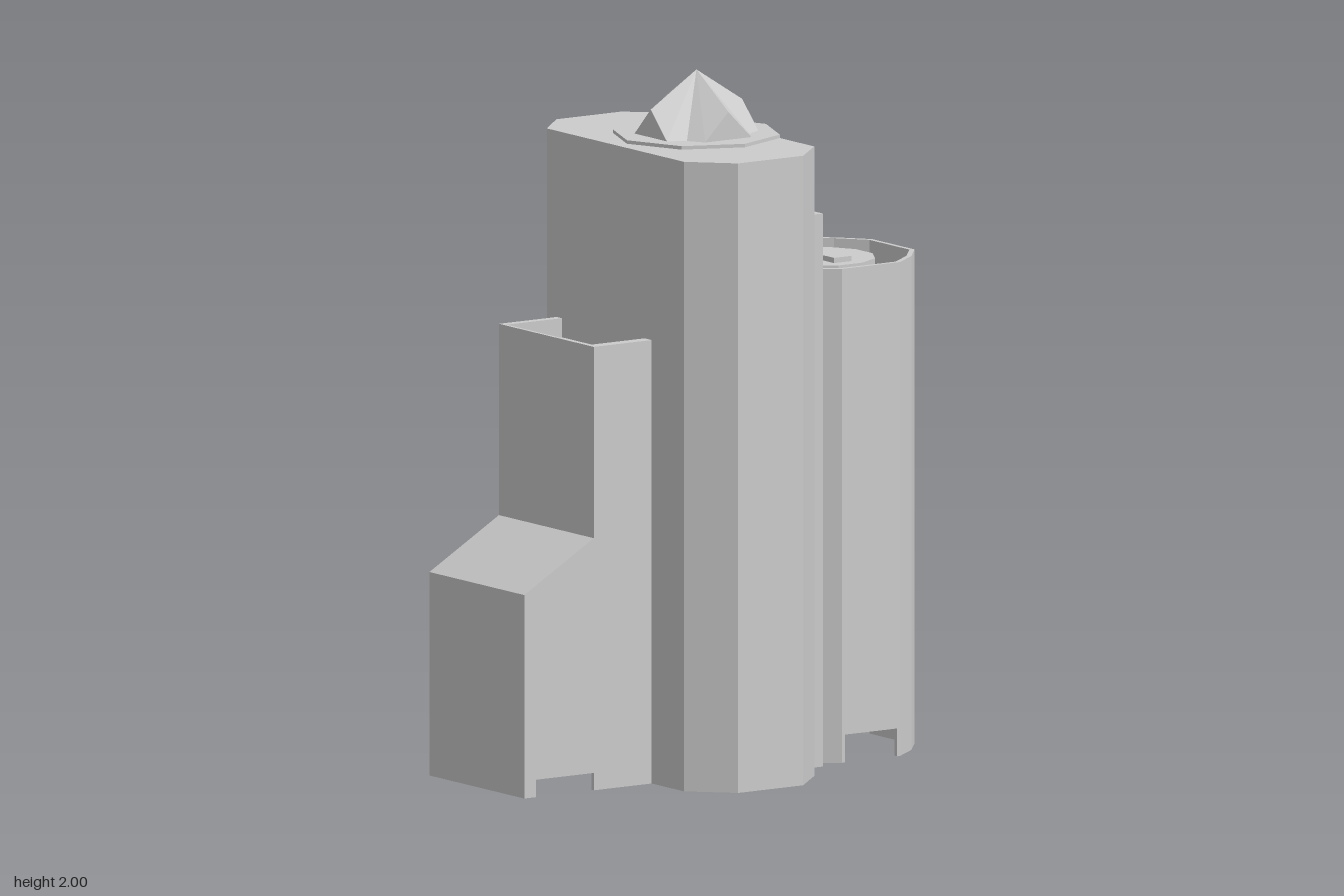
import * as THREE from 'three';

const material = new THREE.MeshStandardMaterial({ color: 0xcccccc, flatShading: true, side: THREE.DoubleSide });

export function createModel() {
  const model = new THREE.Group();
  model.name = 'towerBuilding';

  const add = (name, geometry, parent = model) => {
    const mesh = new THREE.Mesh(geometry, material);
    mesh.name = name;
    parent.add(mesh);
    return mesh;
  };
  // Box given by its limits
  const box = (name, x0, x1, y0, y1, z0, z1) => {
    const m = add(name, new THREE.BoxGeometry(x1 - x0, y1 - y0, z1 - z0));
    m.position.set((x0 + x1) / 2, (y0 + y1) / 2, (z0 + z1) / 2);
    return m;
  };
  // Plan outline of [x, z] points raised from y0 to y1, with an optional hole
  const toPath = (pts) => pts.map(([x, z]) => new THREE.Vector2(x, -z));
  const prism = (name, pts, y0, y1, hole) => {
    const shape = new THREE.Shape(toPath(pts));
    if (hole) shape.holes.push(new THREE.Path(toPath(hole)));
    const g = new THREE.ExtrudeGeometry(shape, { depth: y1 - y0, bevelEnabled: false });
    g.rotateX(-Math.PI / 2).translate(0, y0, 0);
    return add(name, g);
  };
  const scaled = (pts, [cx, cz], s) => pts.map(([x, z]) => [cx + (x - cx) * s, cz + (z - cz) * s]);
  // Thin wall below a prism, one panel per side (sides listed in skip stay open)
  const skirt = (name, pts, [cx, cz], height, skip = []) => {
    const t = 0.012;
    pts.forEach(([ax, az], i) => {
      if (skip.includes(i)) return;
      const [bx, bz] = pts[(i + 1) % pts.length];
      const len = Math.hypot(bx - ax, bz - az);
      let nx = -(bz - az) / len, nz = (bx - ax) / len;
      if (nx * (cx - ax) + nz * (cz - az) < 0) { nx = -nx; nz = -nz; }
      const m = add(name, new THREE.BoxGeometry(len, height, t));
      m.position.set((ax + bx) / 2 + nx * t / 2, height / 2, (az + bz) / 2 + nz * t / 2);
      m.rotation.y = -Math.atan2(bz - az, bx - ax);
    });
  };

  // Main tower, hollow at the foot
  const tower = [[-0.28, -0.34], [-0.17, -0.45], [0.055, -0.45], [0.17, -0.34],
    [0.17, 0.34], [0.055, 0.45], [-0.17, 0.45], [-0.28, 0.34]];
  prism('mainTower', tower, 0.14, 1.81);
  skirt('mainTowerFoot', tower, [-0.05, 0], 0.14);

  // Octagonal core that bulges from the tower side and caps the roof
  add('core', new THREE.CylinderGeometry(0.24, 0.24, 1.71, 8)).position.y = 0.965;

  // Cross-gabled crown
  const crownGeometry = () => {
    const pos = [];
    for (let i = 0; i < 4; i++) {
      const turn = (x, y, z) => new THREE.Vector3(x, y, z).applyAxisAngle(new THREE.Vector3(0, 1, 0), i * Math.PI / 2);
      const apex = turn(0, 0.18, 0), peak = turn(0, 0.08, 0.158);
      const left = turn(-0.08, 0, 0.158), right = turn(0.08, 0, 0.158);
      const valleyL = turn(-0.108, 0, 0.108), valleyR = turn(0.108, 0, 0.108);
      const faces = [apex, peak, right, apex, right, valleyR, apex, left, peak,
        apex, valleyL, left, peak, left, right];
      faces.forEach((p) => pos.push(p.x, p.y, p.z));
    }
    const g = new THREE.BufferGeometry();
    g.setAttribute('position', new THREE.Float32BufferAttribute(pos, 3));
    g.computeVertexNormals();
    return g;
  };
  add('crown', crownGeometry()).position.y = 1.82;
  const lower = add('lowerCrown', crownGeometry());
  lower.rotation.x = Math.PI;
  lower.scale.y = 0.55;
  lower.position.y = 0.11;

  // Link block between the towers, with two roof blocks
  box('linkBlock', 0.16, 0.28, 0, 1.59, -0.225, 0.225);
  for (const s of [-1, 1]) {
    box('linkRoofBlock', 0.165, 0.208, 1.58, 1.67, Math.min(s * 0.1, s * 0.21), Math.max(s * 0.1, s * 0.21));
  }

  // Faceted side tower with parapet, roof drum and open front doorway
  const round = [[0.36, 0.205], [0.56, 0.205], [0.645, 0.14], [0.715, 0.055], [0.715, -0.155],
    [0.645, -0.24], [0.56, -0.305], [0.36, -0.305], [0.27, -0.24], [0.27, 0.14]];
  const centre = [0.46, -0.05];
  prism('sideTower', round, 0.08, 1.35);
  prism('sideTowerParapet', round, 1.35, 1.42, scaled(round, centre, 0.945));
  skirt('sideTowerFoot', round, centre, 0.08, [0]);
  box('doorJamb', 0.36, 0.37, 0, 0.08, 0.193, 0.205);
  box('doorJamb', 0.55, 0.56, 0, 0.08, 0.193, 0.205);
  const drum = add('roofDrum', new THREE.CylinderGeometry(0.16, 0.16, 0.06, 12));
  drum.rotation.y = Math.PI / 12;
  drum.position.set(0.46, 1.38, -0.05);
  box('roofHatch', 0.43, 0.49, 1.4, 1.425, 0.01, 0.065);

  // Stepped wing with a sloping shoulder
  const z0 = -0.29, z1 = 0.18;
  const profile = [[-0.72, 0.08], [-0.27, 0.08], [-0.27, 1.22], [-0.48, 1.22], [-0.48, 0.725], [-0.72, 0.585]];
  const wing = new THREE.ExtrudeGeometry(new THREE.Shape(profile.map(([x, y]) => new THREE.Vector2(x, y))),
    { depth: z1 - z0, bevelEnabled: false });
  add('wing', wing).position.z = z0;

  // Wing parapet
  box('wingParapet', -0.48, -0.27, 1.22, 1.275, z0, z0 + 0.025);
  box('wingParapet', -0.48, -0.27, 1.22, 1.275, z1 - 0.035, z1);
  box('wingParapet', -0.48, -0.47, 1.22, 1.275, z0 + 0.025, z1 - 0.035);

  // Wing foot with a wide low opening in front
  skirt('wingFoot', [[-0.72, z0], [-0.28, z0], [-0.28, z1], [-0.72, z1]], [-0.5, -0.05], 0.08, [1, 2]);
  box('wingFootFront', -0.72, -0.68, 0, 0.08, z1 - 0.012, z1);
  box('wingFootFront', -0.48, -0.28, 0, 0.08, z1 - 0.012, z1);
  box('wingLintel', -0.68, -0.48, 0.05, 0.08, z1 - 0.012, z1);

  return model;
}
